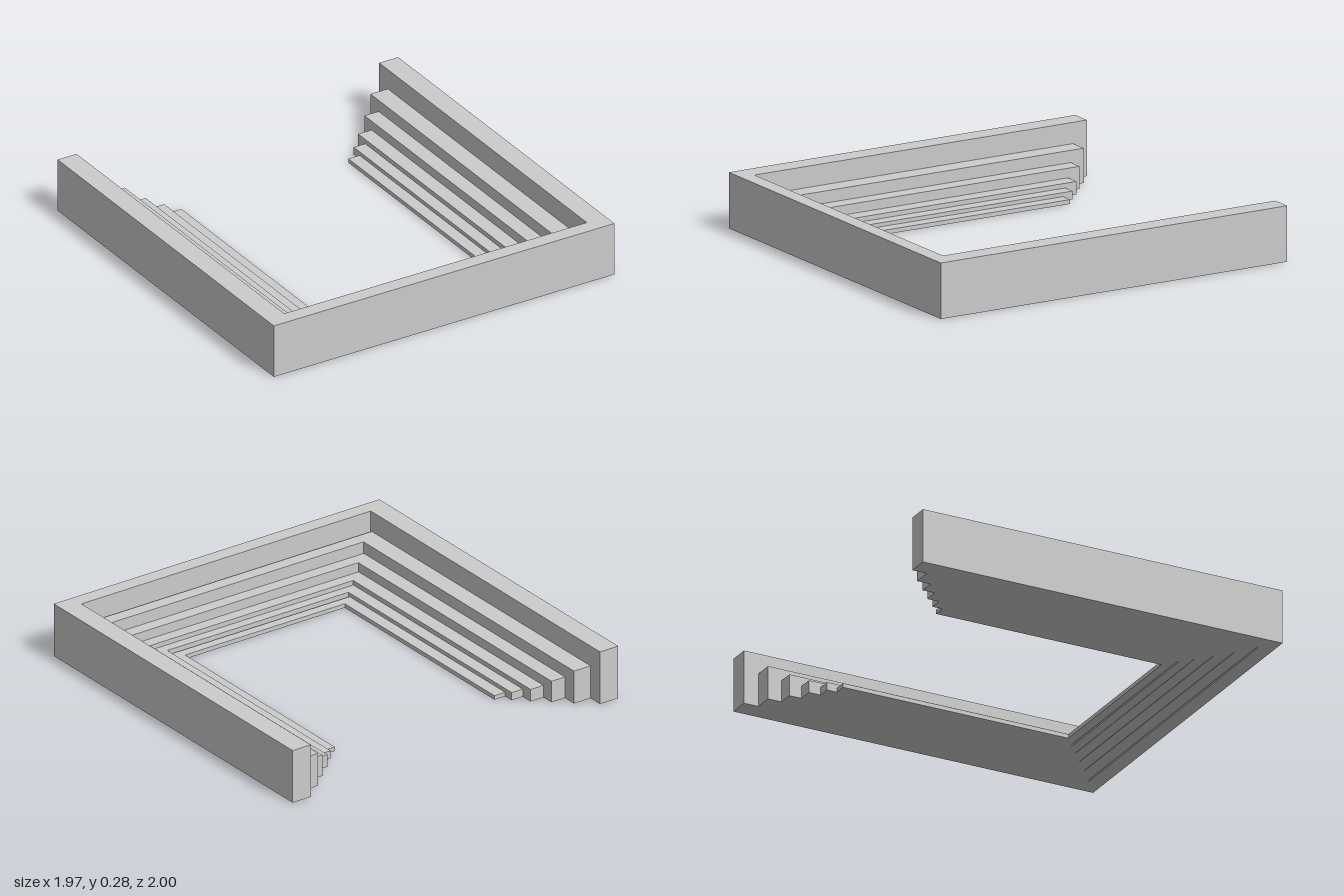
import * as THREE from 'three';

// Each tier: outer half-width, inner half-width, back z, outer front z, inner front z, height
const TIERS = [
  [0.985, 0.875, -1.0, 1.0, 0.92, 0.285],
  [0.875, 0.775, -0.92, 0.911, 0.842, 0.177],
  [0.775, 0.693, -0.845, 0.839, 0.772, 0.115],
  [0.693, 0.615, -0.778, 0.769, 0.707, 0.066],
  [0.615, 0.548, -0.713, 0.705, 0.654, 0.042],
  [0.548, 0.483, -0.658, 0.645, 0.595, 0.022],
];

// U-shaped plan, open at the back, extruded upwards
function uGeometry(outer, inner, back, frontOuter, frontInner, height) {
  const shape = new THREE.Shape([
    [-outer, -frontOuter], [outer, -frontOuter], [outer, -back], [inner, -back],
    [inner, -frontInner], [-inner, -frontInner], [-inner, -back], [-outer, -back],
  ].map(([x, y]) => new THREE.Vector2(x, y)));
  return new THREE.ExtrudeGeometry(shape, { depth: height, bevelEnabled: false })
    .rotateX(-Math.PI / 2);
}

export function createModel() {
  const group = new THREE.Group();
  group.name = 'steppedSeating';
  const material = new THREE.MeshStandardMaterial({ color: 0xcccccc, flatShading: true });

  // Nested tiers stepping down towards the middle
  TIERS.forEach((tier, i) => {
    const mesh = new THREE.Mesh(uGeometry(...tier), material);
    mesh.name = i === 0 ? 'outerWall' : `tier${i}`;
    group.add(mesh);
  });
  return group;
}
